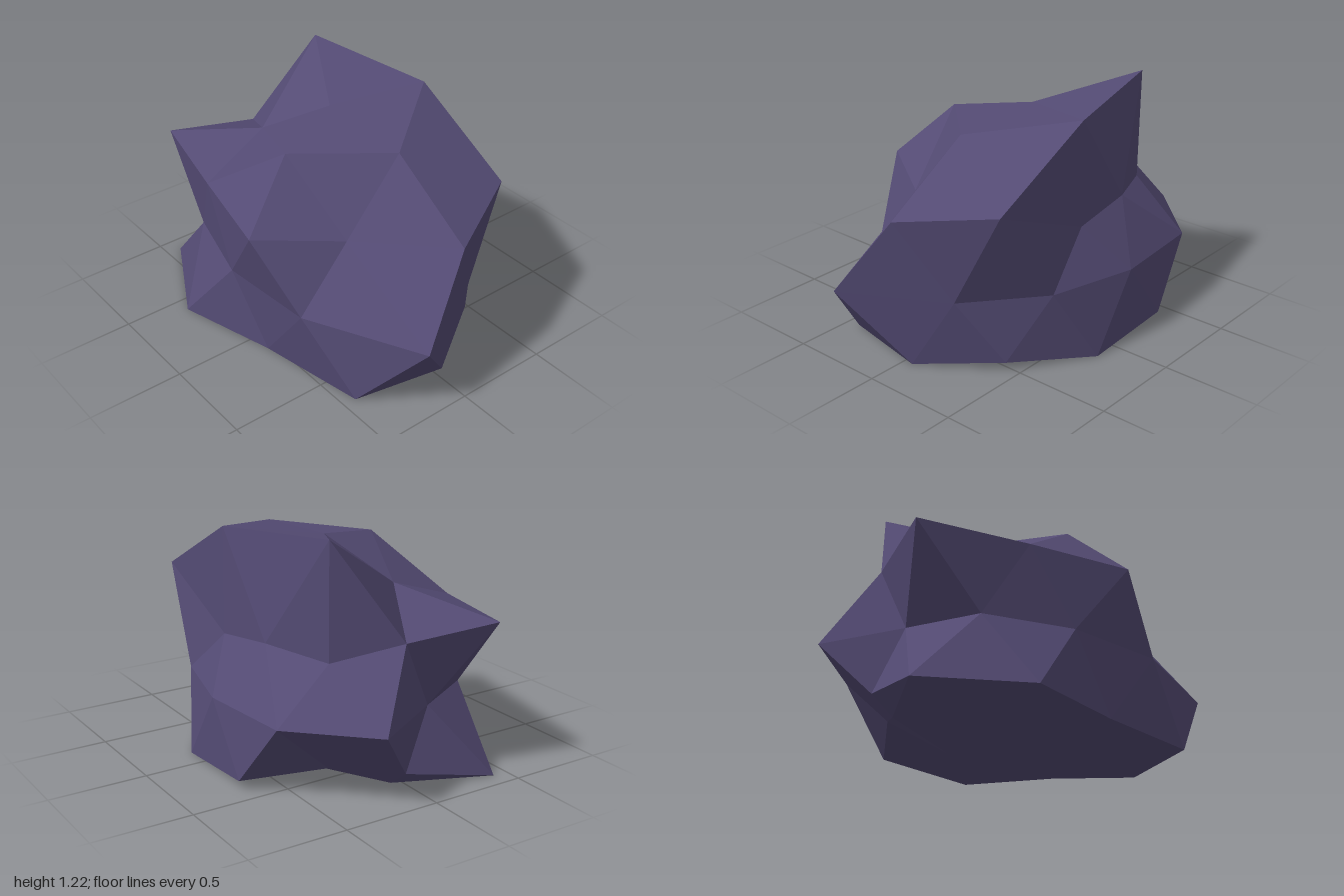
import * as THREE from 'three';

// Rings of the faceted sphere: direction (horizontal, vertical), first azimuth, step, radius of each vertex
const RINGS = {
  top:      { h: 0,     v: 1,      start: 0,  step: 72, r: [0.89] },
  crown:    { h: 0.526, v: 0.851,  start: 0,  step: 72, r: [1.007, 0.96, 0.755, 1.2, 1.13] },
  shoulder: { h: 0.894, v: 0.447,  start: 0,  step: 72, r: [1.118, 1.01, 1.09, 0.70, 0.67] },
  notch:    { h: 0.851, v: 0.526,  start: 36, step: 72, r: [0.77, 0.90, 0.81, 0.67, 1.12] },
  waist:    { h: 1,     v: 0,      start: 18, step: 36, r: [1.17, 0.89, 0.77, 0.765, 0.673, 0.925, 0.895, 0.78, 0.784, 0.87] },
  hip:      { h: 0.894, v: -0.447, start: 36, step: 72, r: [1.115, 1.06, 0.79, 0.925, 0.905] },
  skirt:    { h: 0.851, v: -0.526, start: 0,  step: 72, r: [1.058, 0.89, 1.148, 0.665, 0.96] },
  foot:     { h: 0.526, v: -0.851, start: 36, step: 72, r: [0.9, 0.9, 1.12, 0.65, 0.85] },
  bottom:   { h: 0,     v: -1,     start: 0,  step: 72, r: [0.9] },
};
const CENTRE = new THREE.Vector3(-0.12, 0.38, -0.05);
const SQUASH = 0.82;

// One ring vertex: its unit direction and its displaced position, flattened on the ground
function ringVertex(name, i) {
  const ring = RINGS[name];
  const n = ring.r.length;
  const k = ((i % n) + n) % n;
  const a = THREE.MathUtils.degToRad(ring.start + ring.step * k);
  const dir = new THREE.Vector3(ring.h * Math.cos(a), ring.v, ring.h * Math.sin(a));
  const pos = dir.clone().multiply(new THREE.Vector3(1, SQUASH, SQUASH))
    .multiplyScalar(ring.r[k]).add(CENTRE);
  pos.y = Math.max(0, pos.y);
  return { dir, pos };
}

function rockGeometry() {
  const positions = [];
  // Adds a triangle, turned so that it faces outwards
  const face = (a, b, c) => {
    const normal = b.dir.clone().sub(a.dir).cross(c.dir.clone().sub(a.dir));
    const order = normal.dot(a.dir) > 0 ? [a, b, c] : [a, c, b];
    for (const p of order) positions.push(p.pos.x, p.pos.y, p.pos.z);
  };
  const at = (name) => (i) => ringVertex(name, i);
  const [top, T, U, V, W, L, P, Q, bottom] = Object.keys(RINGS).map(at);

  for (let k = 0; k < 5; k++) {
    const w0 = W(2 * k - 1), w1 = W(2 * k), w2 = W(2 * k + 1);
    // cap
    face(top(0), T(k), T(k + 1));
    face(T(k), U(k), V(k));
    face(T(k), V(k), T(k + 1));
    face(T(k + 1), V(k), U(k + 1));
    // upper side
    face(U(k), w0, w1);
    face(U(k), w1, V(k));
    face(V(k), w1, w2);
    face(V(k), w2, U(k + 1));
    // lower side
    face(P(k), w0, w1);
    face(P(k), w1, L(k));
    face(L(k), w1, w2);
    face(L(k), w2, P(k + 1));
    // underside
    face(L(k), P(k), Q(k));
    face(L(k), Q(k), P(k + 1));
    face(P(k + 1), Q(k), Q(k + 1));
    face(bottom(0), Q(k), Q(k + 1));
  }
  const geometry = new THREE.BufferGeometry();
  geometry.setAttribute('position', new THREE.Float32BufferAttribute(positions, 3));
  geometry.computeVertexNormals();
  return geometry;
}

export function createModel() {
  const group = new THREE.Group();
  group.name = 'boulder';
  const stone = new THREE.MeshStandardMaterial({ color: 0x544b74, flatShading: true });
  stone.name = 'purple stone';
  const rock = new THREE.Mesh(rockGeometry(), stone);
  rock.name = 'rock';
  group.add(rock);
  return group;
}
